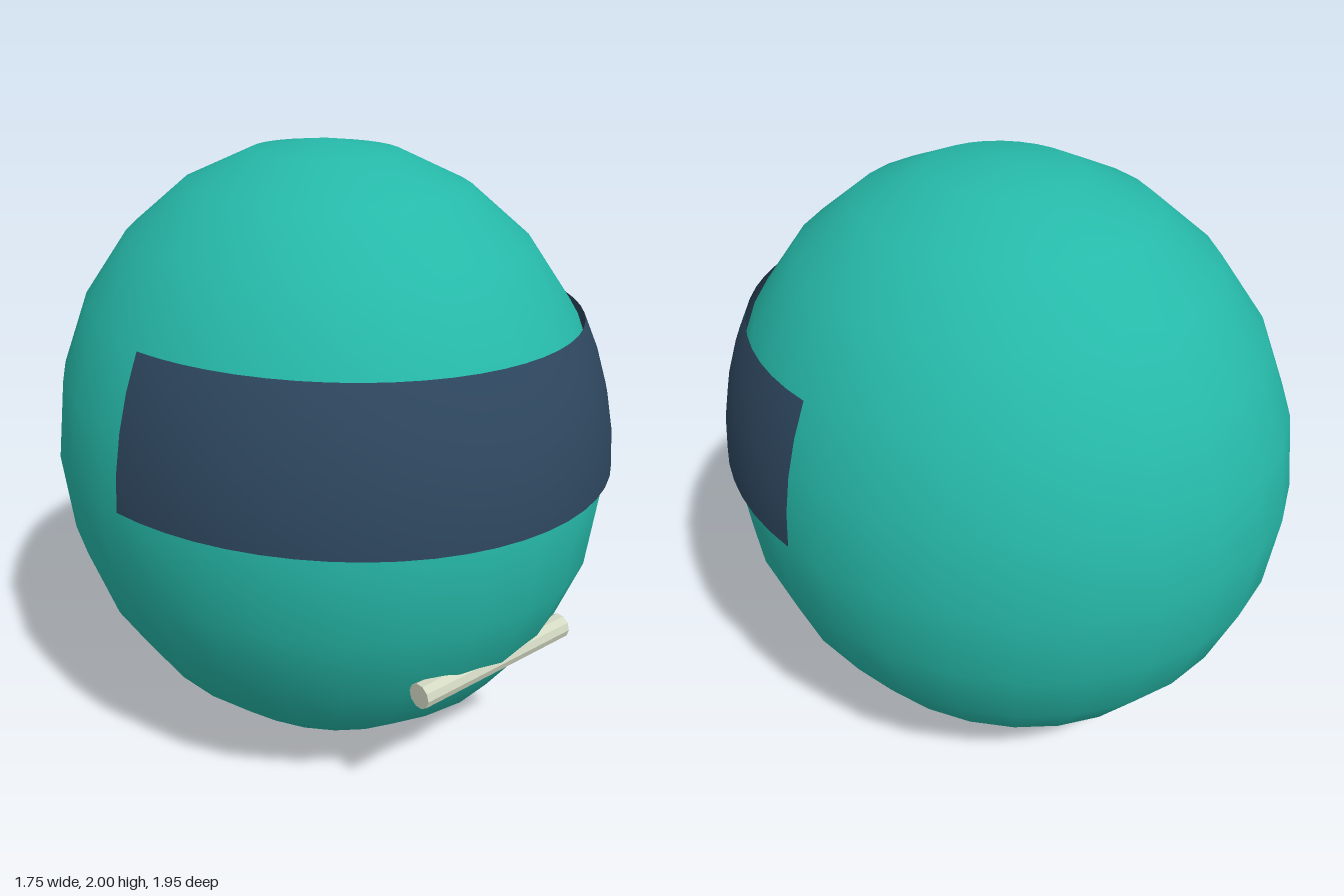
import * as THREE from 'three';

export function createModel() {
  const model = new THREE.Group();
  const teal = new THREE.MeshStandardMaterial({ name: 'teal shell', color: 0x26b9a9 });
  const navy = new THREE.MeshStandardMaterial({ name: 'dark visor', color: 0x2e475f, side: THREE.DoubleSide });
  const ivory = new THREE.MeshStandardMaterial({ name: 'pale bar', color: 0xd2d8c2, flatShading: true });

  const add = (name, geometry, material, x, y, z) => {
    const mesh = new THREE.Mesh(geometry, material);
    mesh.name = name;
    mesh.position.set(x, y, z);
    model.add(mesh);
    return mesh;
  };

  // Egg-shaped helmet shell
  const radii = new THREE.Vector3(0.866, 0.998, 0.966);
  const centre = [0, 1.002, -0.01];
  add('shell', new THREE.SphereGeometry(1, 28, 12), teal, ...centre).scale.copy(radii);

  // Visor: a slightly larger band of the same ellipsoid, wrapping the front
  const phi = 0.12, top = 1.067, bottom = 1.543;
  const band = new THREE.SphereGeometry(1.018, 28, 4, phi, Math.PI - 2 * phi, top, bottom - top);
  add('visor', band, navy, ...centre).scale.copy(radii);

  // Chin bar, partly sunk into the shell
  const bar = new THREE.CylinderGeometry(0.04, 0.04, 0.62, 10).rotateZ(Math.PI / 2);
  add('chinBar', bar, ivory, 0, 0.525, 0.8);

  return model;
}
